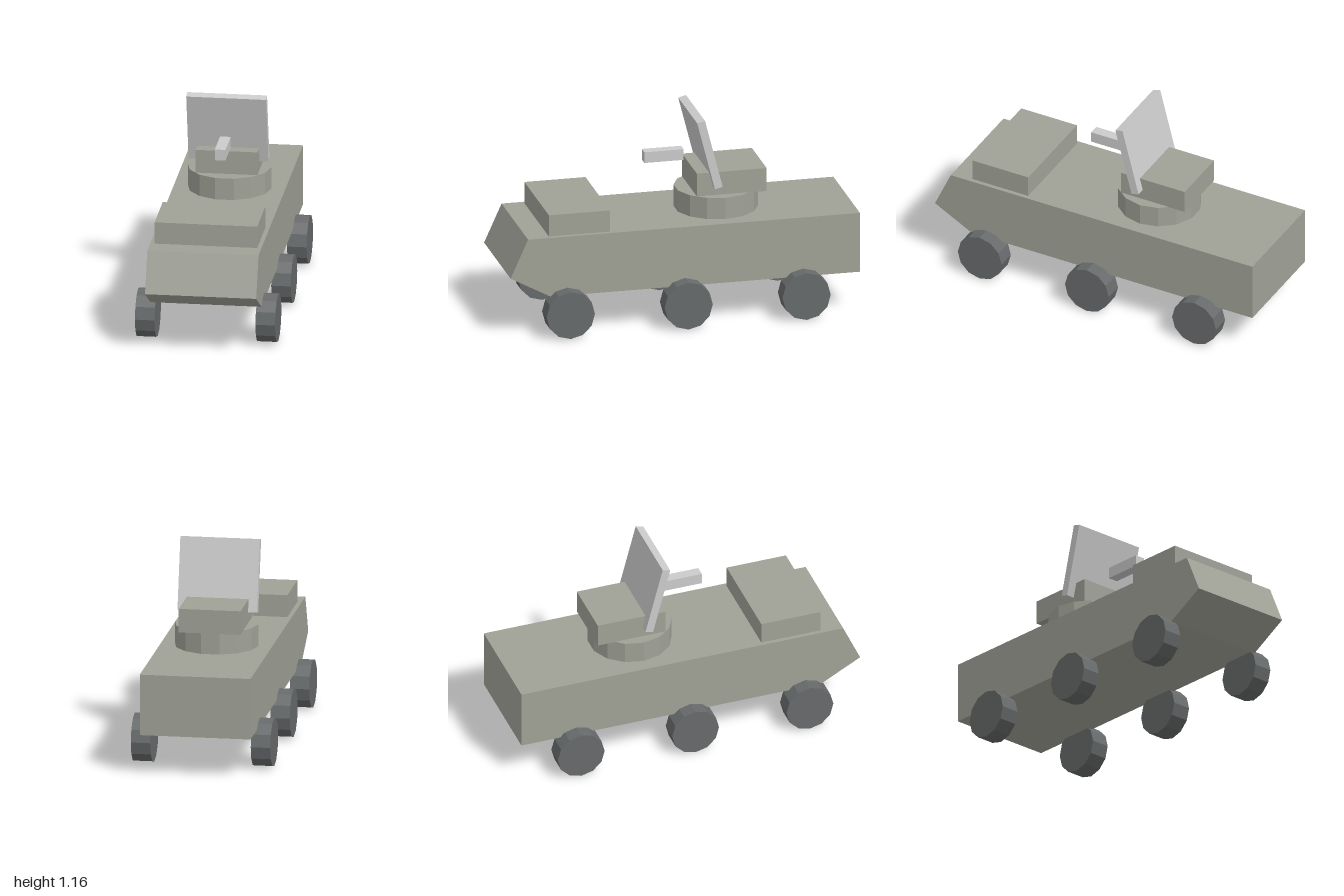
import * as THREE from 'three';

export function createModel() {
  const model = new THREE.Group();
  model.name = 'armouredVehicle';

  const paint = (color) => new THREE.MeshStandardMaterial({ color, flatShading: true });
  const armour = paint(0xa0a297);
  const rubber = paint(0x676a6b);
  const grey = paint(0xcccccc);

  function add(name, geometry, material, x, y, z) {
    const mesh = new THREE.Mesh(geometry, material);
    mesh.name = name;
    mesh.position.set(x, y, z);
    model.add(mesh);
    return mesh;
  }
  const box = (name, material, w, h, d, y, z) =>
    add(name, new THREE.BoxGeometry(w, h, d), material, 0, y, z);

  // Hull: side profile (z, y) extruded across the width
  const hullWidth = 0.624;
  const profile = new THREE.Shape(
    [[1, 0.355], [0.9, 0.577], [-1, 0.577], [-1, 0.23], [0.77, 0.23]]
      .map(([z, y]) => new THREE.Vector2(z, y))
  );
  const hull = new THREE.ExtrudeGeometry(profile, { depth: hullWidth, bevelEnabled: false });
  hull.translate(0, 0, -hullWidth / 2).rotateY(-Math.PI / 2);
  add('hull', hull, armour, 0, 0, 0);

  // Raised box on the front deck
  box('frontDeckBox', armour, 0.576, 0.126, 0.35, 0.639, 0.6);

  // Turret: faceted ring with a block on top
  const ring = new THREE.CylinderGeometry(0.235, 0.235, 0.127, 14).rotateY(Math.PI / 2);
  add('turretRing', ring, armour, 0, 0.6385, -0.25);
  box('turretBlock', armour, 0.348, 0.135, 0.4, 0.768, -0.3);

  // Tilted panel and the short bar in front of it
  box('tiltedPanel', grey, 0.448, 0.41, 0.046, 0.957, -0.163).rotation.x = 0.25;
  box('frontBar', grey, 0.06, 0.063, 0.225, 0.903, 0.053);

  // Three pairs of wheels, with a corner at the top
  const wheel = new THREE.CylinderGeometry(0.138, 0.138, 0.11, 12).rotateZ(Math.PI / 2);
  [['front', 0.675], ['middle', 0], ['rear', -0.675]].forEach(([row, z]) => {
    add(row + 'LeftWheel', wheel, rubber, 0.338, 0.138, z);
    add(row + 'RightWheel', wheel, rubber, -0.338, 0.138, z);
  });

  return model;
}
